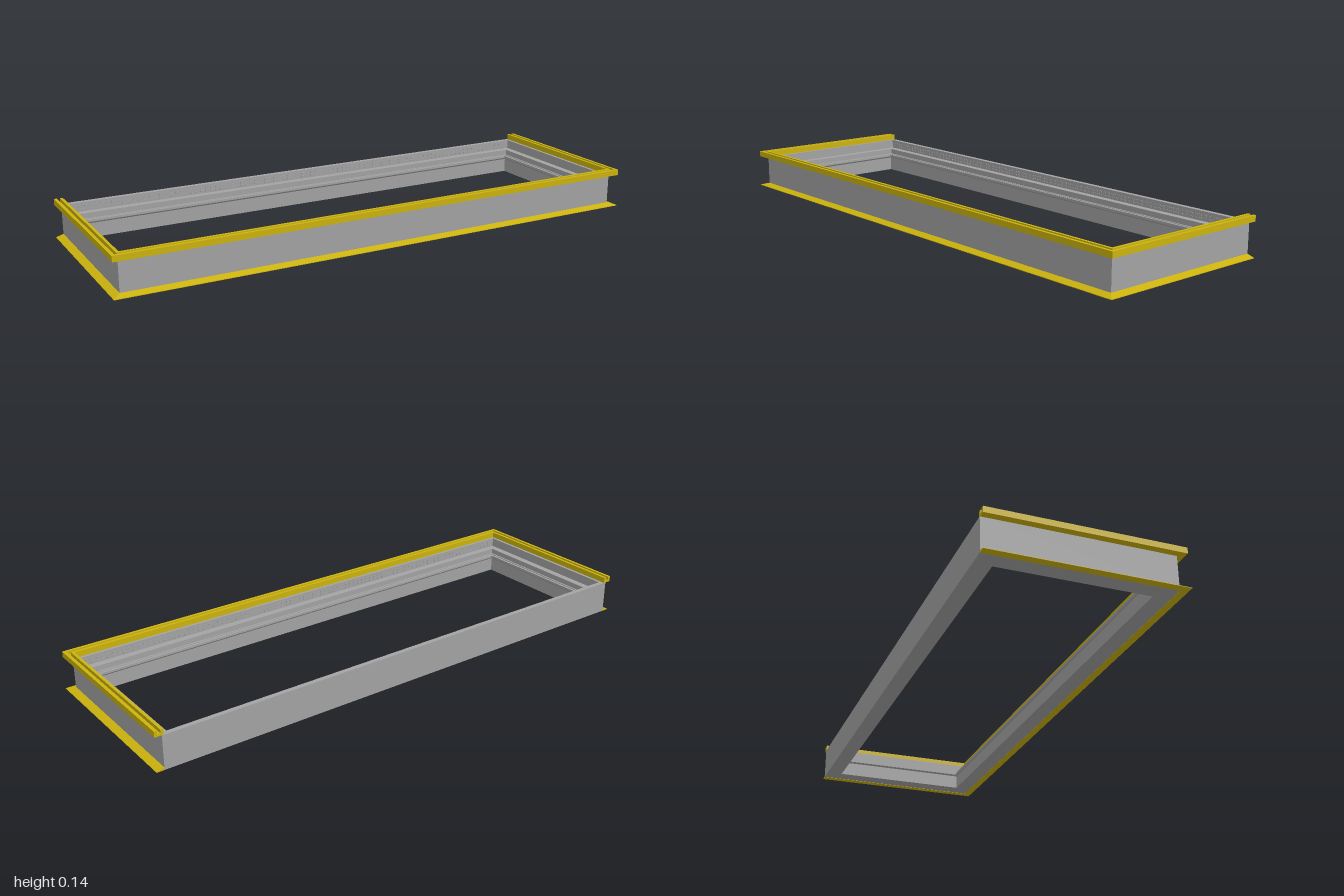
import * as THREE from 'three';
import { mergeGeometries } from 'three/addons/utils/BufferGeometryUtils.js';

// Outer rectangle of the frame walls
const X = 0.972, BACK = -0.333, FRONT = 0.307;

// Sweep a profile of [inward offset, height] points around the rectangle with
// mitred corners; an open sweep skips the back side and caps its two ends.
function sweep(profile, closed) {
  const n = profile.length;
  const corners = profile.map(([d, y]) => {
    const x = X - d, zb = closed ? BACK + d : BACK + 0.001, zf = FRONT - d;
    return [[-x, y, zb], [-x, y, zf], [x, y, zf], [x, y, zb]];
  });
  const pos = [];
  const at = (i, j) => corners[j % n][i % 4];
  for (let i = 0; i < (closed ? 4 : 3); i++) {
    for (let j = 0; j < n; j++) {
      const a = at(i, j), b = at(i + 1, j), c = at(i, j + 1), d = at(i + 1, j + 1);
      pos.push(...a, ...b, ...c, ...b, ...d, ...c);
    }
  }
  if (!closed) {
    const outline = profile.map(([d, y]) => new THREE.Vector2(d, y));
    for (const [p, q, r] of THREE.ShapeUtils.triangulateShape(outline, [])) {
      pos.push(...at(0, p), ...at(0, q), ...at(0, r));
      pos.push(...at(3, p), ...at(3, q), ...at(3, r));
    }
  }
  const g = new THREE.BufferGeometry();
  g.setAttribute('position', new THREE.Float32BufferAttribute(pos, 3));
  g.computeVertexNormals();
  return g;
}

export function createModel() {
  const group = new THREE.Group();
  const grey = new THREE.MeshStandardMaterial({ color: 0xa3a3a3, flatShading: true });
  const yellow = new THREE.MeshStandardMaterial({ color: 0xccb30d, flatShading: true, side: THREE.DoubleSide });
  const add = (name, geometry, material) => {
    const mesh = new THREE.Mesh(geometry, material);
    mesh.name = name;
    group.add(mesh);
  };

  // Wall with a stepped inner side and a grooved, slightly overhanging lip
  add('frameWalls', sweep([
    [0, 0.001], [0, 0.122], [0.018, 0.122], [0.018, 0.088], [0.044, 0.088],
    [0.044, 0.068], [0.051, 0.068], [0.051, 0.056], [0.056, 0.056], [0.056, 0.068],
    [0.065, 0.068], [0.065, 0.060], [0.060, 0.054], [0.060, 0.001],
  ], true), grey);

  // Raised, grooved edge trim on the front and both ends
  add('topTrim', sweep([
    [-0.0245, 0.122], [-0.0245, 0.143], [-0.014, 0.143], [-0.014, 0.130],
    [-0.003, 0.130], [-0.003, 0.143], [0.007, 0.143], [0.007, 0.122],
  ], false), yellow);

  // Sloping foot flange on the same three sides
  add('footFlange', sweep([[-0.027, 0], [-0.027, 0.002], [0, 0.01], [0, 0]], false), yellow);

  // Rows of small ribs along the inner faces of the long sides
  const ribs = [];
  for (const z of [BACK + 0.018, FRONT - 0.018]) {
    for (const y of [0.096, 0.108]) {
      for (let x = -0.93; x < 0.931; x += 0.02) {
        ribs.push(new THREE.BoxGeometry(0.011, 0.005, 0.004).translate(x, y, z));
      }
    }
  }
  add('innerRibs', mergeGeometries(ribs), grey);

  return group;
}
